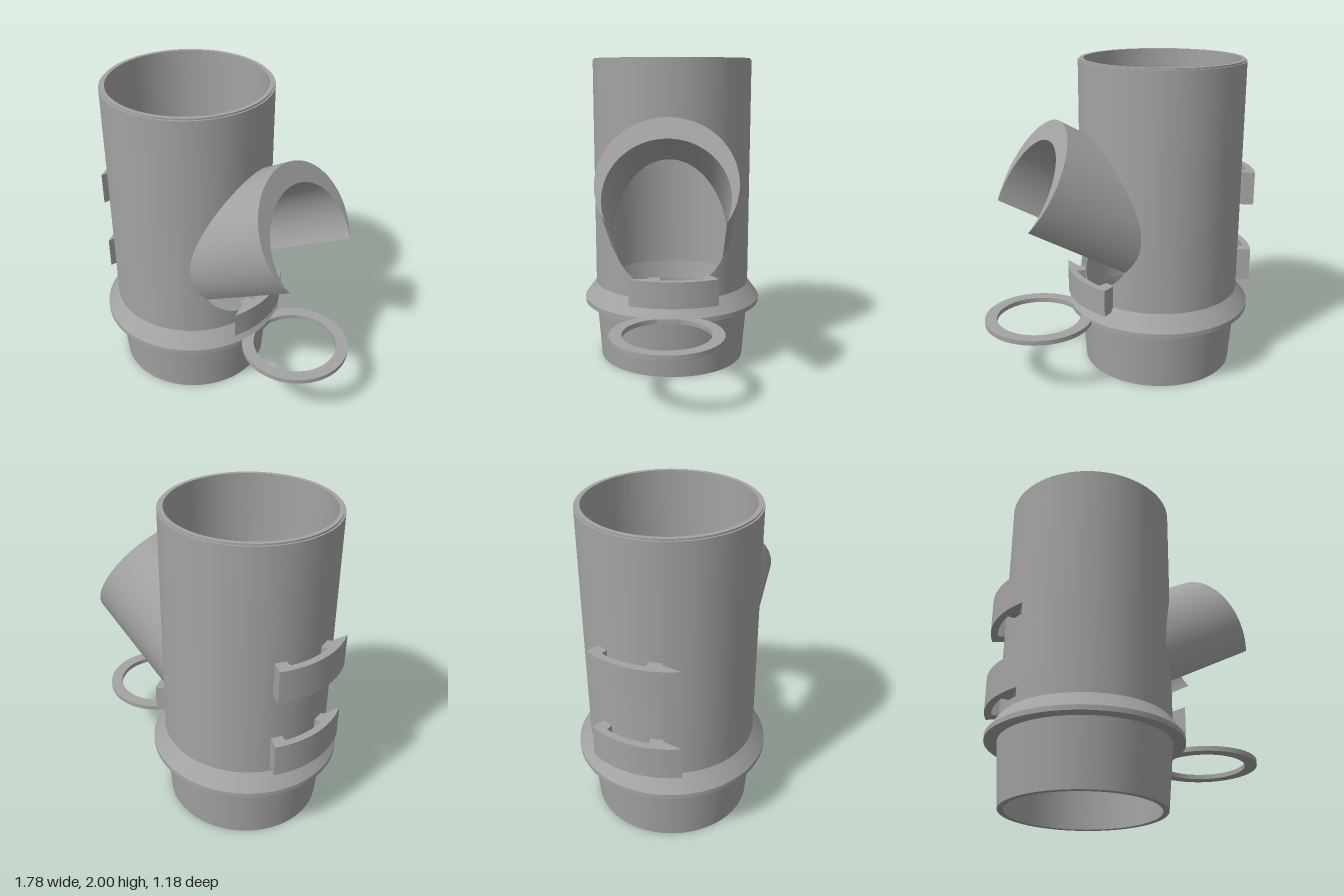
import * as THREE from 'three';
import { toCreasedNormals, mergeGeometries } from 'three/addons/utils/BufferGeometryUtils.js';

const AXIS_X = -0.29;               // vertical pipe axis
const OUT = 0.515, IN = 0.48;       // pipe wall radii
const Y0 = 0.52, Y1 = 1.99;         // straight part of the pipe
const MX = 0.58, MY = 1.31;         // centre of the branch mouth
const S = 0.5, C = Math.sqrt(3) / 2; // branch rises at 30 degrees
const BRANCH = { r: 0.405, d: 0 };
const BORE = { r: 0.361, d: 0.091 }; // bore sits lower, leaving a crescent wall
const TIP = 0.23;                   // where the crescent walls meet, below the axis
const tOut = Math.acos(-TIP / BRANCH.r);
const tBore = Math.acos((BORE.d - TIP) / BORE.r);

// Surface spanned between two curves a(u) and b(u)
function ruled(n, a, b) {
  const pos = [], idx = [];
  for (let i = 0; i <= n; i++) {
    pos.push(...a(i / n), ...b(i / n));
    if (i < n) {
      const k = i * 2;
      idx.push(k, k + 2, k + 1, k + 1, k + 2, k + 3);
    }
  }
  const g = new THREE.BufferGeometry();
  g.setAttribute('position', new THREE.Float32BufferAttribute(pos, 3));
  g.setIndex(idx);
  g.computeVertexNormals();
  return g;
}

// Point where a slanted cylinder meets the vertical pipe of radius R
function onPipe({ r, d }, t, R) {
  const z = r * Math.sin(t), v = d - r * Math.cos(t);
  const x = AXIS_X + Math.sqrt(R * R - z * z);
  return [x, MY + ((x - MX) * S - v) / C, z];
}

// Point of a slanted cylinder on the mouth plane
function onMouth({ r, d }, t) {
  const v = d - r * Math.cos(t);
  return [MX + v * S, MY - v * C, r * Math.sin(t)];
}

// Pipe wall of radius R with the branch opening left out
function pipeWall(R) {
  const e = Math.asin(BORE.r / R);
  const around = (u, y) => {
    const a = e + u * (2 * Math.PI - 2 * e);
    return [AXIS_X + R * Math.cos(a), y, R * Math.sin(a)];
  };
  const above = (u) => onPipe(BORE, (u - 0.5) * Math.PI, R);
  const below = (u) => onPipe(BORE, Math.PI - (u - 0.5) * Math.PI, R);
  const atY = (p, y) => [p[0], y, p[2]];
  return mergeGeometries([
    ruled(80, (u) => around(u, Y0), (u) => around(u, Y1)),
    ruled(32, above, (u) => atY(above(u), Y1)),
    ruled(32, (u) => atY(below(u), Y0), below),
  ]);
}

// Turned profile with a sharp edge at every profile point
function turned(profile) {
  const bands = [];
  for (let i = 0; i < profile.length - 1; i++) {
    const pts = [profile[i], profile[i + 1]].map((p) => new THREE.Vector2(...p));
    bands.push(new THREE.LatheGeometry(pts, 96));
  }
  return mergeGeometries(bands).translate(AXIS_X, 0, 0);
}

// Flat outline raised from y to y + h
function slab(shape, y, h) {
  const g = new THREE.ExtrudeGeometry(shape, { depth: h, bevelEnabled: false, curveSegments: 40 });
  g.rotateX(-Math.PI / 2).translate(0, y, 0);
  return toCreasedNormals(g, 0.5);
}

// Curved clip hugging the pipe, with a gap behind it; side is +1 or -1 along x
function clipShape(side) {
  const pts = [];
  const add = (r, a) => pts.push(new THREE.Vector2(AXIS_X + side * r * Math.cos(a), -r * Math.sin(a)));
  const arc = (r, a, b) => {
    for (let i = 0; i <= 16; i++) add(r, a + ((b - a) * i) / 16);
  };
  arc(0.6, -0.54, 0.43);
  add(0.535, 0.25);
  add(0.5, 0.24);
  add(0.5, 0.1);
  arc(0.557, 0.1, -0.4);
  add(0.5, -0.41);
  add(0.5, -0.54);
  return new THREE.Shape(pts);
}

export function createModel() {
  const group = new THREE.Group();
  const grey = new THREE.MeshStandardMaterial({ color: 0xa3a3a3, side: THREE.DoubleSide });
  grey.name = 'plain grey';
  const add = (name, geometry) => {
    const mesh = new THREE.Mesh(geometry, grey);
    mesh.name = name;
    group.add(mesh);
  };

  // Vertical pipe
  add('pipeOuterWall', pipeWall(OUT));
  add('pipeInnerWall', pipeWall(IN));
  add('topRim', turned([[OUT, Y1], [0.505, Y1], [0.505, 2], [IN, 2], [IN, Y1]]));
  add('collarAndSpigot', turned([
    [IN, Y0], [0.46, 0.39], [0.45, 0], [0.485, 0], [OUT, 0.39],
    [0.59, 0.39], [0.59, 0.42], [OUT, Y0],
  ]));

  // Slanted branch, open underneath
  const sweep = (t) => (u) => (2 * u - 1) * t;
  const so = sweep(tOut), sb = sweep(tBore);
  add('branchOuter', ruled(64, (u) => onPipe(BRANCH, so(u), OUT), (u) => onMouth(BRANCH, so(u))));
  add('branchBore', ruled(64, (u) => onMouth(BORE, sb(u)), (u) => onPipe(BORE, sb(u), IN)));
  add('branchMouth', ruled(64, (u) => onMouth(BRANCH, so(u)), (u) => onMouth(BORE, sb(u))));

  // Cut edge of the pipe wall below the branch
  const low = (u) => tBore + u * 2 * (Math.PI - tBore);
  add('openingEdge', ruled(32, (u) => onPipe(BORE, low(u), OUT), (u) => onPipe(BORE, low(u), IN)));

  // Clips
  add('upperBackClip', slab(clipShape(-1), 1.08, 0.21));
  add('lowerBackClip', slab(clipShape(-1), 0.56, 0.21));
  add('branchClip', slab(clipShape(1), 0.49, 0.17));

  // Flat ring beside the collar
  const ring = new THREE.Shape().absarc(0.55, 0, 0.34, 0, Math.PI * 2);
  ring.holes.push(new THREE.Path().absarc(0.55, 0, 0.265, 0, Math.PI * 2, true));
  add('sideRing', slab(ring, 0.39, 0.03));

  return group;
}
